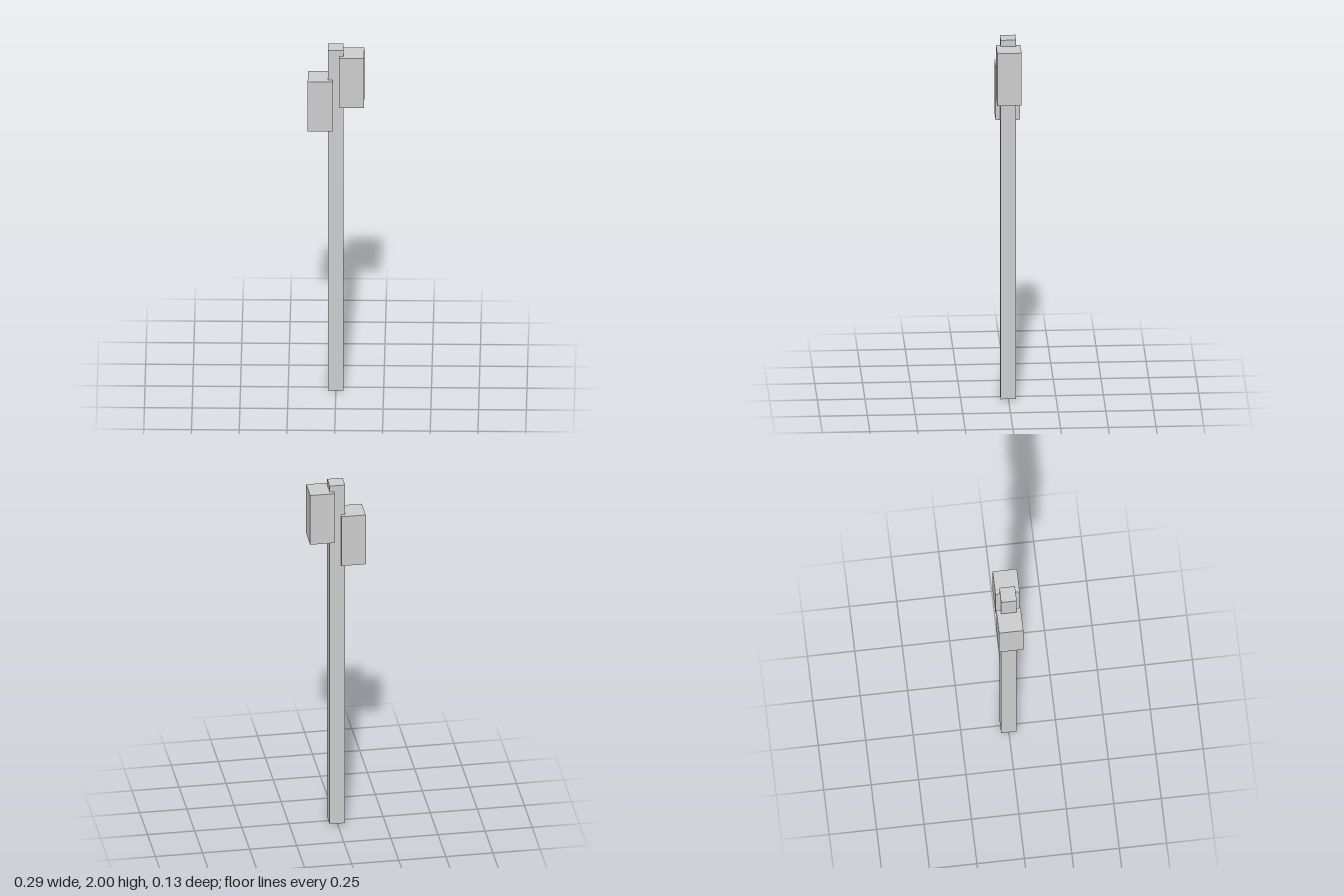
import * as THREE from 'three';

export function createModel() {
  const group = new THREE.Group();
  const material = new THREE.MeshStandardMaterial({ color: 0xcccccc, flatShading: true });

  const addBox = (name, size, position) => {
    const mesh = new THREE.Mesh(new THREE.BoxGeometry(...size), material);
    mesh.name = name;
    mesh.position.set(...position);
    group.add(mesh);
  };

  // Square post standing on the ground
  addBox('post', [0.082, 2, 0.082], [-0.001, 1, 0]);

  // Two equal boxes overlapping the post's sides at staggered heights
  const boxSize = [0.129, 0.291, 0.128];
  addBox('leftBox', boxSize, [0.083, 1.82, 0]);
  addBox('rightBox', boxSize, [-0.083, 1.68, 0]);

  return group;
}
